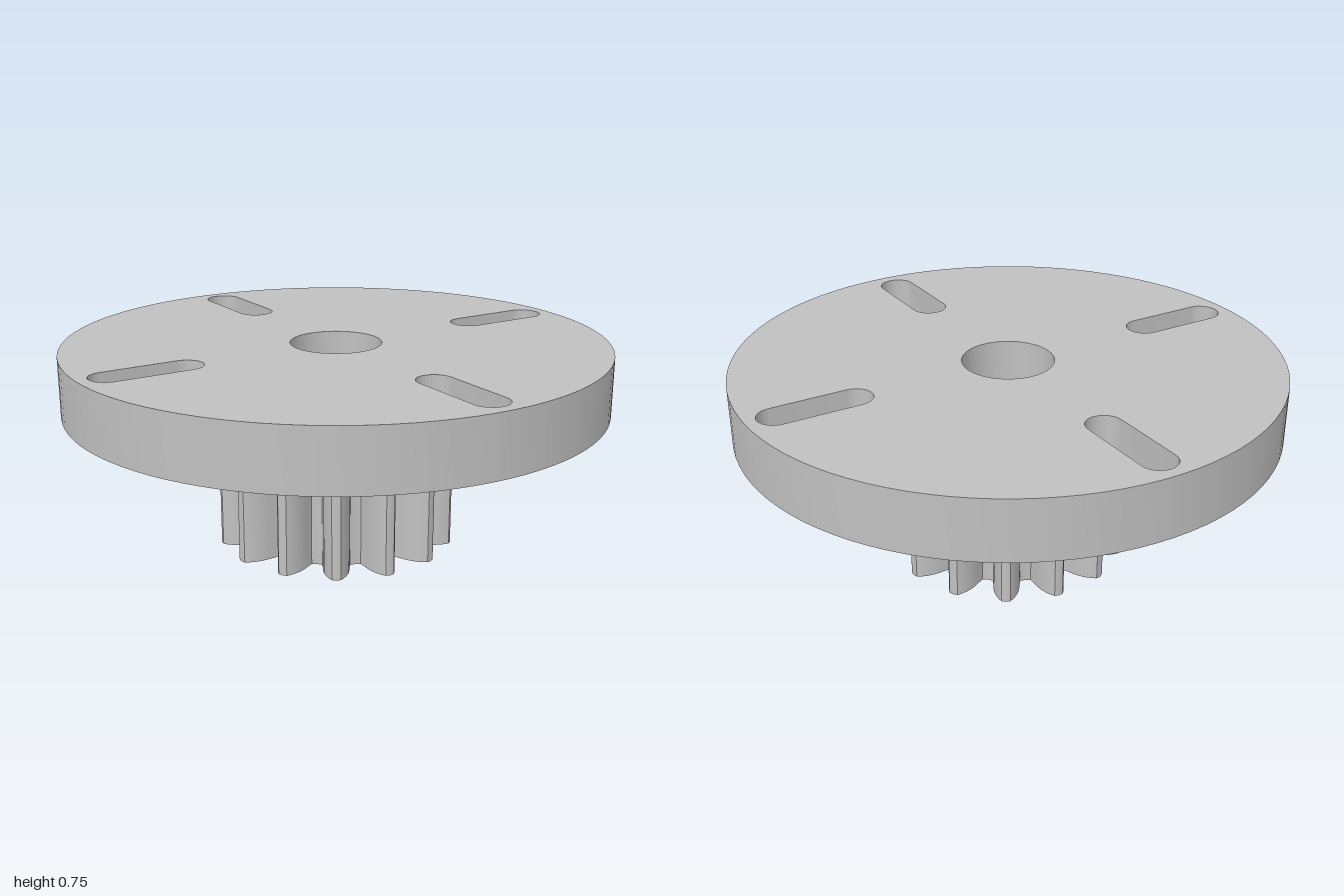
import * as THREE from 'three';
import { toCreasedNormals } from 'three/addons/utils/BufferGeometryUtils.js';

const BORE = 0.168;
const TEETH = 14;

// circular outline
function disc(radius) {
  const s = new THREE.Shape();
  s.absarc(0, 0, radius, 0, Math.PI * 2, false);
  return s;
}

// rounded slot running outward along the given angle
function slot(angle, inner, outer, r) {
  const c = Math.cos(angle), s = Math.sin(angle);
  const p = new THREE.Path();
  p.absarc(c * outer, s * outer, r, angle - Math.PI / 2, angle + Math.PI / 2, false);
  p.absarc(c * inner, s * inner, r, angle + Math.PI / 2, angle + Math.PI * 1.5, false);
  p.closePath();
  return p;
}

// spur gear outline: [radius, half tooth width] from root to tip
function gearShape() {
  const flank = [[0.312, 0.05], [0.335, 0.048], [0.36, 0.047], [0.385, 0.043],
    [0.405, 0.036], [0.425, 0.026], [0.438, 0.016]];
  const pts = [];
  const add = (r, a) => pts.push(new THREE.Vector2(r * Math.cos(a), r * Math.sin(a)));
  for (let i = 0; i < TEETH; i++) {
    const a = (i / TEETH) * Math.PI * 2;
    for (const [r, w] of flank) add(r, a - Math.asin(w / r));
    add(0.441, a);
    for (const [r, w] of [...flank].reverse()) add(r, a + Math.asin(w / r));
    add(0.308, a + Math.PI / TEETH);
  }
  return new THREE.Shape(pts);
}

// extrude an outline upward from y0 to y1 with the centre bore cut out
function part(name, shape, y0, y1, material) {
  const bore = new THREE.Path();
  bore.absarc(0, 0, BORE, 0, Math.PI * 2, true);
  shape.holes.push(bore);
  const geo = new THREE.ExtrudeGeometry(shape, { depth: y1 - y0, bevelEnabled: false, curveSegments: 48 });
  geo.rotateX(-Math.PI / 2);
  geo.translate(0, y0, 0);
  const mesh = new THREE.Mesh(toCreasedNormals(geo, Math.PI / 6), material);
  mesh.name = name;
  return mesh;
}

export function createModel() {
  const grey = new THREE.MeshStandardMaterial({ color: 0xc0c0c0 });
  grey.name = 'plain grey';

  // mounting plate with four diagonal slots
  const plate = disc(1);
  for (let i = 0; i < 4; i++) {
    plate.holes.push(slot(Math.PI / 4 + (i * Math.PI) / 2, 0.43 * Math.SQRT2, 0.63 * Math.SQRT2, 0.066));
  }

  const group = new THREE.Group();
  group.name = 'gearHub';
  group.add(
    part('pinionGear', gearShape(), 0, 0.443, grey),
    part('collar', disc(0.443), 0.443, 0.531, grey),
    part('slottedPlate', plate, 0.531, 0.752, grey),
  );
  return group;
}
